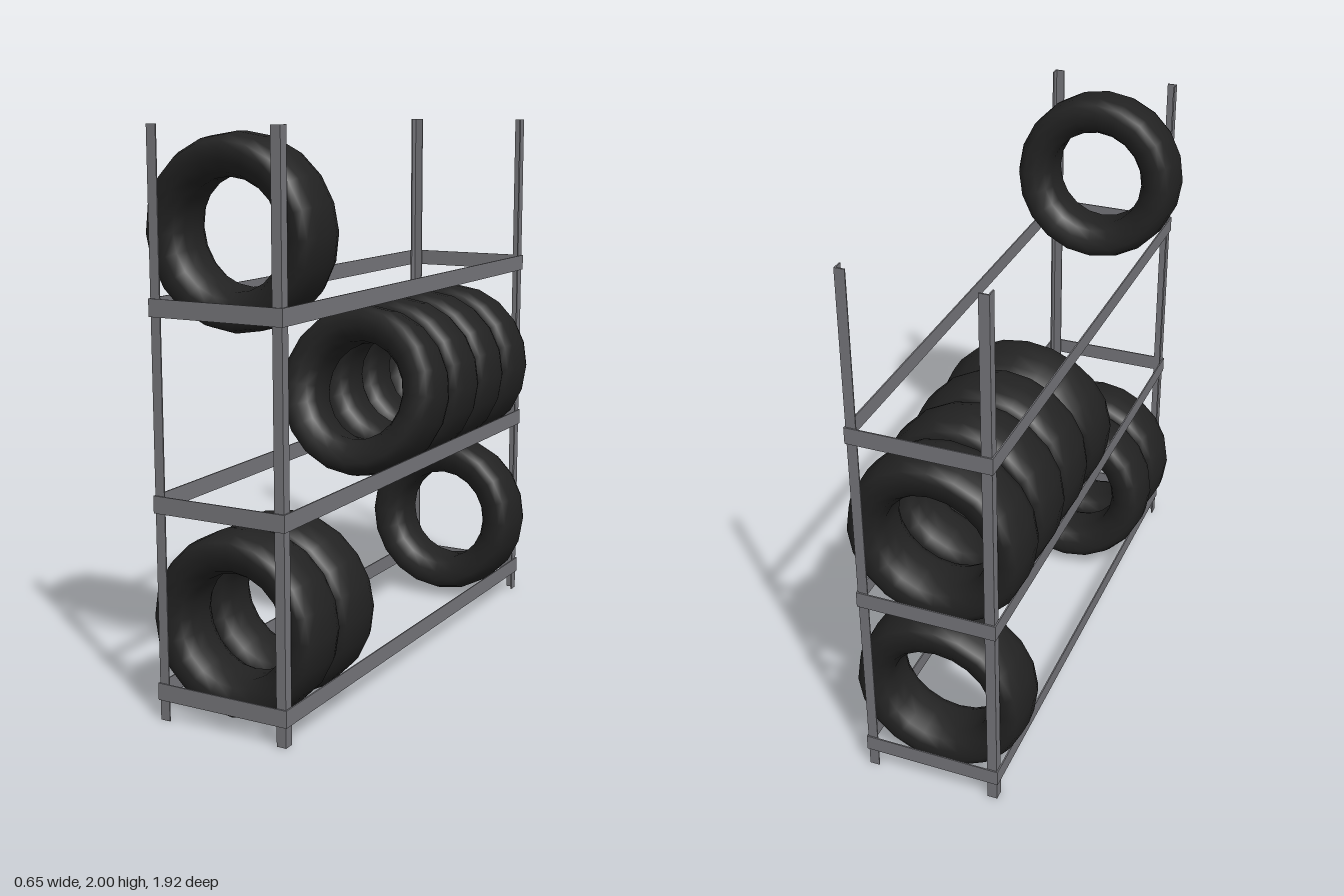
import * as THREE from 'three';

export function createModel() {
  const model = new THREE.Group();
  model.name = 'tyreRack';
  const steel = new THREE.MeshStandardMaterial({ name: 'grey steel', color: 0x75757a });
  const rubber = new THREE.MeshStandardMaterial({ name: 'black rubber', color: 0x222222 });

  const X = 0.249, Z = 0.954, T = 0.005; // outer faces of the posts, plate thickness

  // Upright posts: L-shaped angle profile, corner facing outwards
  const L = 0.036;
  for (const sx of [1, -1]) for (const sz of [1, -1]) {
    const pts = [[0, 0], [L, 0], [L, T], [T, T], [T, L], [0, L]]
      .map(([a, b]) => new THREE.Vector2(sx * (X - a), -sz * (Z - b)));
    const geo = new THREE.ExtrudeGeometry(new THREE.Shape(pts), { depth: 2, bevelEnabled: false });
    geo.rotateX(-Math.PI / 2);
    const post = new THREE.Mesh(geo, steel);
    post.name = (sz > 0 ? 'front' : 'back') + (sx > 0 ? 'Left' : 'Right') + 'Post';
    model.add(post);
  }

  // Shelf frames: four thin flat bars wrapped round the posts
  const addBar = (parent, name, w, d, x, z) => {
    const bar = new THREE.Mesh(new THREE.BoxGeometry(w, 0.06, d), steel);
    bar.position.set(x, 0, z);
    bar.name = name;
    parent.add(bar);
  };
  [0.102, 0.757, 1.414].forEach((y, i) => {
    const shelf = new THREE.Group();
    shelf.name = 'shelfFrame' + (i + 1);
    shelf.position.y = y;
    for (const s of [1, -1]) {
      addBar(shelf, s > 0 ? 'leftRail' : 'rightRail', T, 2 * Z + 0.01, s * (X + T / 2), 0);
      addBar(shelf, s > 0 ? 'frontRail' : 'backRail', 2 * X, T, 0, s * (Z + T / 2));
    }
    model.add(shelf);
  });

  // Tyre: closed cross-section turned round the z axis (radius, half width)
  const half = [[0.186, 0.055], [0.205, 0.09], [0.24, 0.11], [0.28, 0.113], [0.305, 0.1], [0.32, 0.06]];
  const profile = [
    new THREE.Vector2(0.186, 0),
    ...half.map(([r, w]) => new THREE.Vector2(r, -w)),
    new THREE.Vector2(0.324, 0),
    ...[...half].reverse().map(([r, w]) => new THREE.Vector2(r, w)),
    new THREE.Vector2(0.186, 0),
  ];
  const tyreGeo = new THREE.LatheGeometry(profile, 20);
  tyreGeo.rotateX(Math.PI / 2);

  // Tyres standing on the shelves: height, depth, lean towards the front
  const tyres = [
    [0.342, 0.798, 0.01], [0.342, 0.553, 0.06], [0.342, -0.797, -0.04],
    [0.997, -0.045, -0.2], [0.997, -0.308, -0.03], [0.997, -0.546, -0.02], [0.997, -0.797, -0.035],
    [1.654, 0.793, 0.065],
  ];
  tyres.forEach(([y, z, lean], i) => {
    const tyre = new THREE.Mesh(tyreGeo, rubber);
    tyre.name = 'tyre' + (i + 1);
    tyre.position.set(0, y, z);
    tyre.rotation.x = lean;
    model.add(tyre);
  });

  return model;
}
